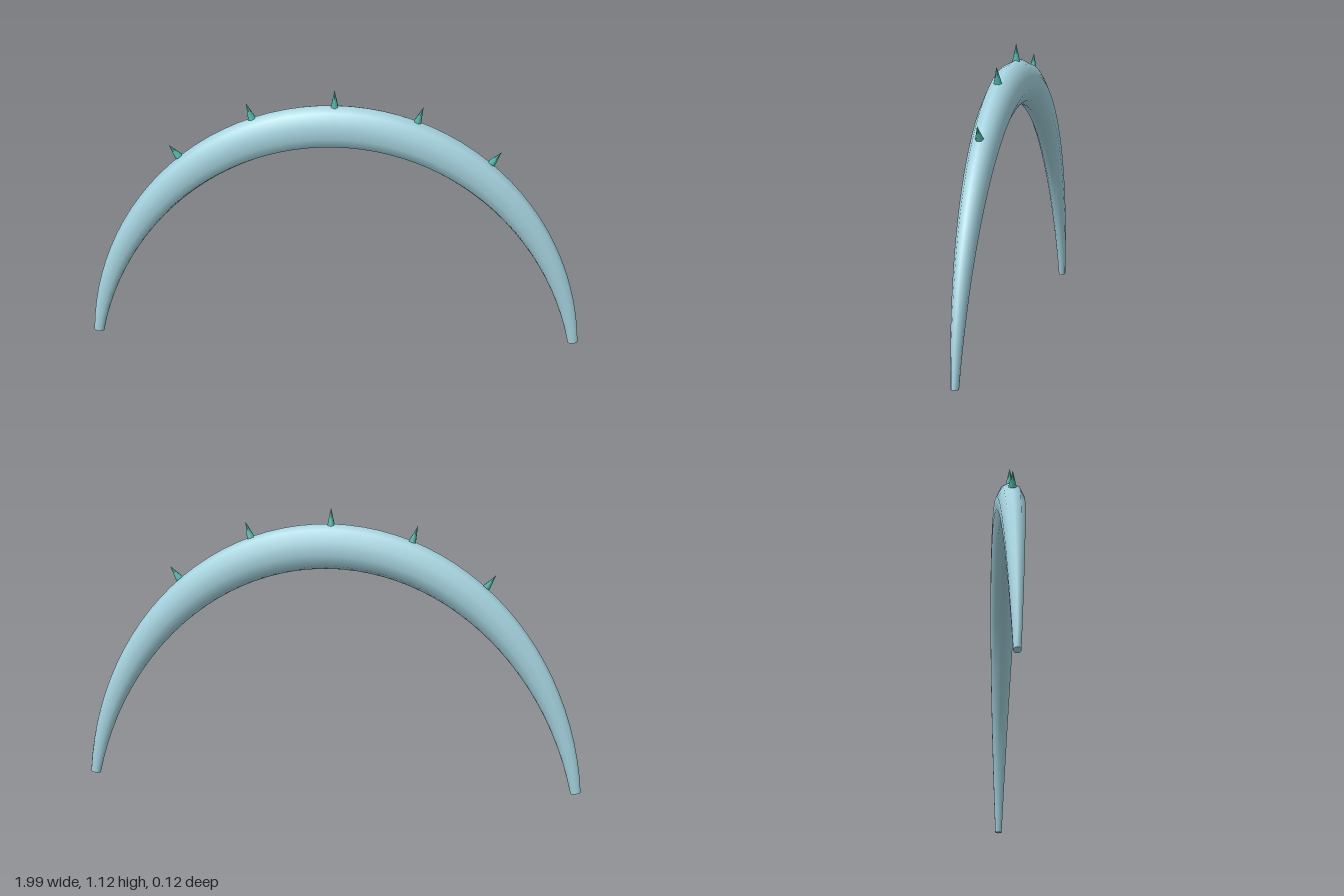
import * as THREE from 'three';

const SIDES = 10, STEPS = 48;
const START = THREE.MathUtils.degToRad(10);
const A = 0.992, B = 1.17, CY = -0.198;

// One oval ring of the arch, at parameter u from 0 to 1
function ring(u) {
  const t = START + (Math.PI - 2 * START) * u;
  const center = new THREE.Vector3(A * Math.cos(t), CY + B * Math.sin(t), 0);
  const normal = new THREE.Vector3(Math.cos(t) / A, Math.sin(t) / B, 0).normalize();
  const grow = Math.max(0, center.y / 0.972); // thickness follows height
  const tall = 0.02 + 0.069 * grow;
  const wide = 0.014 + 0.047 * grow;
  const points = [];
  for (let j = 0; j < SIDES; j++) {
    const a = (j / SIDES) * Math.PI * 2;
    const p = center.clone().addScaledVector(normal, Math.cos(a) * tall);
    p.z = Math.sin(a) * wide;
    points.push(p);
  }
  return { center, points };
}

function geometryFrom(points, index) {
  const g = new THREE.BufferGeometry().setFromPoints(points);
  g.setIndex(index);
  g.computeVertexNormals();
  return g;
}

// Smooth tapered tube along the arch
function archGeometry() {
  const points = [], index = [];
  for (let i = 0; i <= STEPS; i++) points.push(...ring(i / STEPS).points);
  for (let i = 0; i < STEPS; i++) {
    for (let j = 0; j < SIDES; j++) {
      const k = (j + 1) % SIDES;
      const a = i * SIDES + j, b = i * SIDES + k;
      const c = a + SIDES, d = b + SIDES;
      index.push(a, c, b, b, c, d);
    }
  }
  return geometryFrom(points, index);
}

// Flat cap closing one end
function capGeometry(u) {
  const { center, points } = ring(u);
  const index = [];
  for (let j = 0; j < SIDES; j++) {
    const k = (j + 1) % SIDES;
    if (u === 0) index.push(SIDES, j, k);
    else index.push(SIDES, k, j);
  }
  return geometryFrom([...points, center], index);
}

export function createModel() {
  const model = new THREE.Group();
  model.name = 'spikedArch';
  const bandMaterial = new THREE.MeshStandardMaterial({ color: 0xa5d3df });
  bandMaterial.name = 'paleBlue';
  const spikeMaterial = new THREE.MeshStandardMaterial({ color: 0x4fb3a5 });
  spikeMaterial.name = 'teal';

  const add = (geometry, material, name) => {
    const mesh = new THREE.Mesh(geometry, material);
    mesh.name = name;
    model.add(mesh);
    return mesh;
  };

  add(archGeometry(), bandMaterial, 'arch');
  add(capGeometry(0), bandMaterial, 'leftEnd');
  add(capGeometry(1), bandMaterial, 'rightEnd');

  // Spikes standing on the crest, each from a base point to a tip
  const up = new THREE.Vector3(0, 1, 0);
  const addSpike = (name, bx, by, tx, ty) => {
    const base = new THREE.Vector3(bx, by, 0);
    const dir = new THREE.Vector3(tx, ty, 0).sub(base);
    const length = dir.length();
    const geometry = new THREE.ConeGeometry(0.016, length, 6);
    geometry.translate(0, length / 2, 0);
    const spike = add(geometry, spikeMaterial, name);
    spike.position.copy(base);
    spike.quaternion.setFromUnitVectors(up, dir.normalize());
  };
  addSpike('middleSpike', 0, 1.054, 0, 1.125);
  for (const [side, s] of [['left', 1], ['right', -1]]) {
    addSpike(side + 'InnerSpike', s * 0.317, 0.998, s * 0.338, 1.062);
    addSpike(side + 'OuterSpike', s * 0.606, 0.826, s * 0.643, 0.876);
  }
  return model;
}
